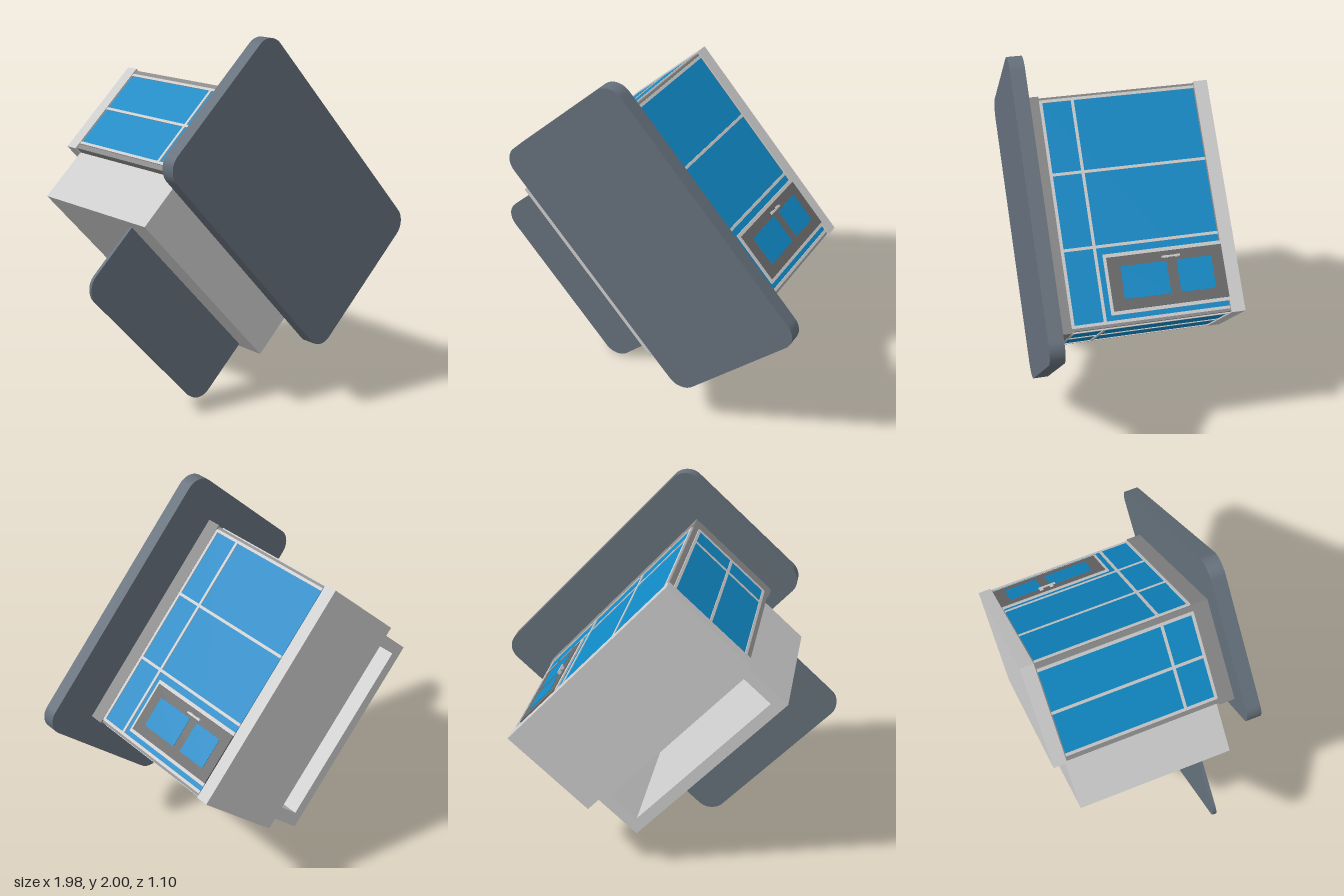
import * as THREE from 'three';

const grey = new THREE.MeshStandardMaterial({ color: 0xcccccc });
const wallGrey = new THREE.MeshStandardMaterial({ color: 0x888888 });
const doorGrey = new THREE.MeshStandardMaterial({ color: 0x686868 });
const slate = new THREE.MeshStandardMaterial({ color: 0x646f7a });
const blue = new THREE.MeshStandardMaterial({ color: 0x1088c4 });

// Box from its lower and upper limits along the house's own axes
function box(parent, name, mat, [x0, x1], [y0, y1], [z0, z1]) {
  const mesh = new THREE.Mesh(new THREE.BoxGeometry(x1 - x0, y1 - y0, z1 - z0), mat);
  mesh.position.set((x0 + x1) / 2, (y0 + y1) / 2, (z0 + z1) / 2);
  mesh.name = name;
  parent.add(mesh);
  return mesh;
}

function extrude(parent, name, mat, shape, z0, z1) {
  const geo = new THREE.ExtrudeGeometry(shape, { depth: z1 - z0, bevelEnabled: false, curveSegments: 10 });
  const mesh = new THREE.Mesh(geo, mat);
  mesh.position.z = z0;
  mesh.name = name;
  parent.add(mesh);
}

// Rectangle with separate radii for the lower and upper corners
function roundedRect(x0, x1, y0, y1, low, high) {
  const s = new THREE.Shape();
  s.moveTo(x0 + low, y0);
  s.lineTo(x1 - low, y0);
  if (low) s.absarc(x1 - low, y0 + low, low, -Math.PI / 2, 0);
  s.lineTo(x1, y1 - high);
  if (high) s.absarc(x1 - high, y1 - high, high, 0, Math.PI / 2);
  s.lineTo(x0 + high, y1);
  if (high) s.absarc(x0 + high, y1 - high, high, Math.PI / 2, Math.PI);
  s.lineTo(x0, y0 + low);
  if (low) s.absarc(x0 + low, y0 + low, low, Math.PI, Math.PI * 1.5);
  return s;
}

export function createModel() {
  const model = new THREE.Group();
  model.name = 'tiltedHouse';
  const house = new THREE.Group();
  house.name = 'house';
  house.position.set(0.07, 1.06, 0);
  house.rotation.z = THREE.MathUtils.degToRad(-47.4);
  model.add(house);

  // Main body: floor slab, walls and broad roof plate
  box(house, 'floor', grey, [-0.64, 0.64], [-0.295, 0.295], [-0.55, -0.475]);
  box(house, 'walls', wallGrey, [-0.632, 0.632], [-0.287, 0.287], [-0.475, 0.385]);
  box(house, 'roofBand', wallGrey, [-0.64, 0.64], [-0.295, 0.295], [0.385, 0.47]);
  extrude(house, 'roof', slate, roundedRect(-0.82, 0.80, -0.386, 0.554, 0.1, 0.1), 0.47, 0.55);

  // Long glazed side
  const bar = 0.008;
  const sideBar = [0.28, 0.295];
  box(house, 'sideGlass', blue, [-0.61, 0.61], [0.28, 0.290], [-0.468, 0.38]);
  for (const x of [-0.61, -0.205, 0.205, 0.61])
    box(house, 'sideMullion', grey, [x - bar, x + bar], sideBar, [-0.47, 0.382]);
  for (const z of [0.205, 0.376])
    box(house, 'sideTransom', grey, [-0.61, 0.61], sideBar, [z - bar, z + bar]);

  // Glazed ends
  for (const s of [-1, 1]) {
    const span = (a, b) => (s > 0 ? [a, b] : [-b, -a]);
    box(house, 'endGlass', blue, span(0.62, 0.635), [-0.25, 0.25], [-0.468, 0.38]);
    for (const y of [-0.25, 0, 0.25])
      box(house, 'endMullion', grey, span(0.62, 0.64), [y - bar, y + bar], [-0.47, 0.382]);
    for (const z of [0.205, 0.376])
      box(house, 'endTransom', grey, span(0.62, 0.64), [-0.25, 0.25], [z - bar, z + bar]);
  }

  // Door with two panes and a handle
  const door = new THREE.Group();
  door.name = 'door';
  house.add(door);
  box(door, 'doorFrame', grey, [0.25, 0.575], [0.28, 0.298], [-0.472, 0.168]);
  box(door, 'doorLeaf', doorGrey, [0.27, 0.556], [0.28, 0.302], [-0.474, 0.152]);
  for (const z of [[-0.165, 0.085], [-0.41, -0.22]])
    box(door, 'doorPane', blue, [0.325, 0.5], [0.28, 0.304], z);
  box(door, 'doorHandle', grey, [0.298, 0.308], [0.312, 0.32], [-0.24, -0.14]);
  for (const z of [-0.225, -0.165])
    box(door, 'handlePost', grey, [0.296, 0.31], [0.3, 0.314], [z - 0.01, z + 0.01]);

  // Hollow side bay, open at the back
  const rim = roundedRect(-0.593, 0.593, -0.6, -0.287, 0, 0);
  rim.holes.push(roundedRect(-0.53, 0.52, -0.535, -0.34, 0, 0));
  extrude(house, 'bayWalls', grey, rim, -0.48, 0.33);
  box(house, 'bayTop', grey, [-0.593, 0.593], [-0.6, -0.287], [0.33, 0.38]);

  // Thin canopy reaching out from the bay
  extrude(house, 'canopy', slate, roundedRect(-0.54, 0.563, -1.013, -0.58, 0.1, 0), 0.21, 0.23);

  return model;
}
